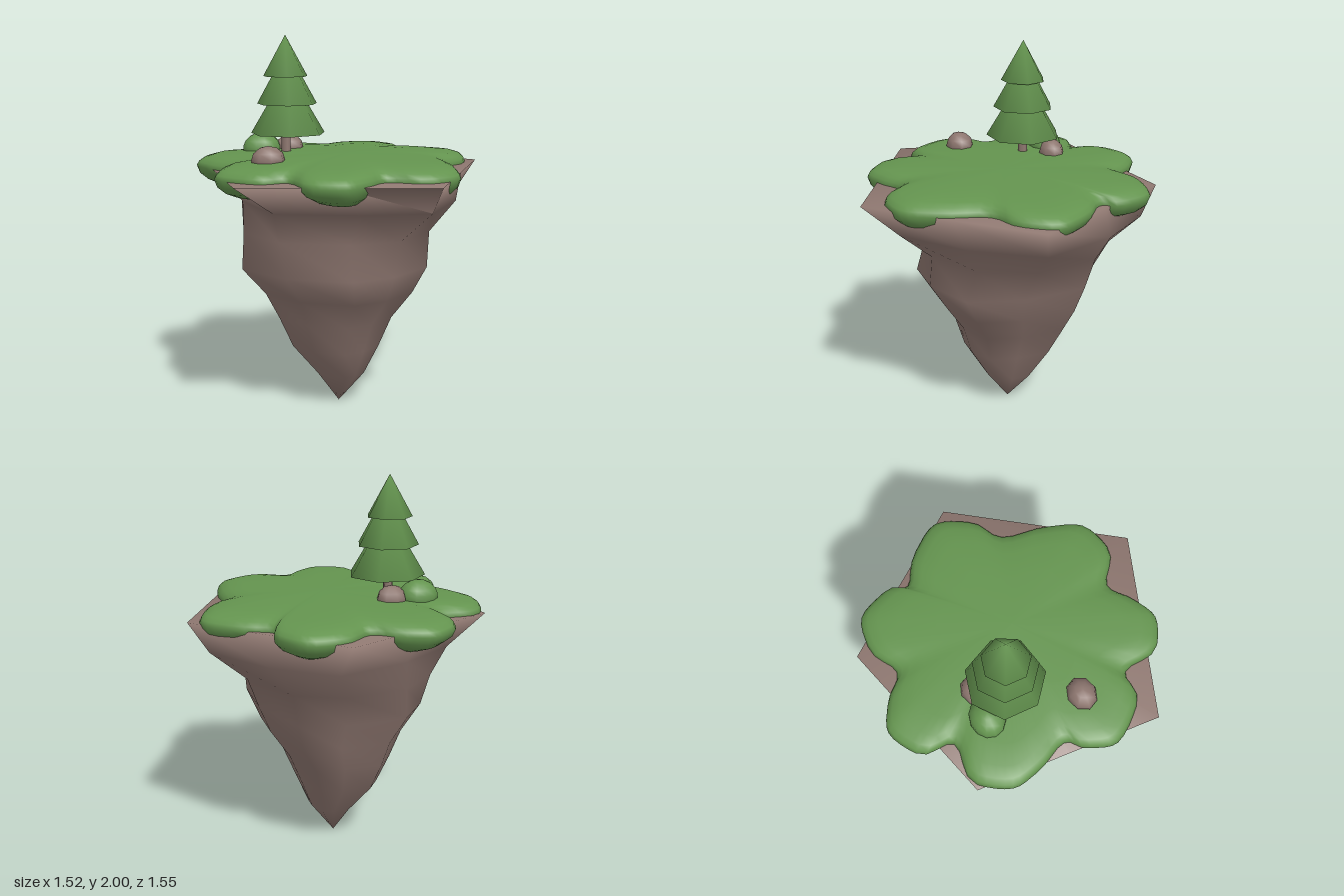
import * as THREE from 'three';
import { mergeVertices } from 'three/addons/utils/BufferGeometryUtils.js';

// Weld all corners so shading rolls smoothly over every edge
function weld(geometry) {
  geometry.deleteAttribute('normal');
  geometry.deleteAttribute('uv');
  const welded = mergeVertices(geometry, 1e-4);
  welded.computeVertexNormals();
  return welded;
}

// Skin closed rings of [x, y, z] points, listed from top to bottom
function loft(rings) {
  const n = rings[0].length;
  const index = [];
  for (let i = 0; i < rings.length - 1; i++) {
    for (let j = 0; j < n; j++) {
      const a = i * n + j, b = i * n + (j + 1) % n;
      index.push(a, b, a + n, b, b + n, a + n);
    }
  }
  const geometry = new THREE.BufferGeometry();
  geometry.setAttribute('position', new THREE.Float32BufferAttribute(rings.flat(2), 3));
  geometry.setIndex(index);
  return weld(geometry);
}

export function createModel() {
  const model = new THREE.Group();
  model.name = 'floatingIsland';
  const rock = new THREE.MeshStandardMaterial({ color: 0x8e7770 });
  rock.name = 'rockBrown';
  const green = new THREE.MeshStandardMaterial({ color: 0x64944f });
  green.name = 'leafGreen';

  const add = (name, geometry, material, x = 0, y = 0, z = 0, parent = model) => {
    const mesh = new THREE.Mesh(geometry, material);
    mesh.name = name;
    mesh.position.set(x, y, z);
    parent.add(mesh);
    return mesh;
  };

  // Rock: a pentagonal rim that rounds off into a ten-sided body, fitted to the
  // extents of each level. Corners are fractions of those extents in x and z.
  const { lerp } = THREE.MathUtils;
  const pentagon = [[1, 0.47], [0.63, 1], [0, 0.8], [0.03, 0.175], [0.62, 0]];
  const rimCorners = pentagon.flatMap(([u, v], i) => {
    const [nextU, nextV] = pentagon[(i + 1) % 5];
    return [[u, v], [(u + nextU) / 2, (v + nextV) / 2]];
  });
  const bodyCorners = [
    [1, 0.5], [0.96, 0.8], [0.71, 0.96], [0.47, 1], [0.165, 0.81],
    [0, 0.52], [0.175, 0.17], [0.35, 0], [0.69, 0.03], [0.92, 0.13],
  ];
  const levels = [ // y, roundness, xMin, xMax, zMin, zMax
    [1.31, 0, 0, 0, 0, 0],
    [1.31, 0, -0.73, 0.76, -0.77, 0.77],
    [1.15, 0.35, -0.58, 0.66, -0.70, 0.60],
    [0.98, 0.7, -0.57, 0.46, -0.57, 0.44],
    [0.80, 1, -0.59, 0.38, -0.49, 0.46],
    [0.65, 1, -0.46, 0.32, -0.43, 0.36],
    [0.50, 1, -0.38, 0.22, -0.37, 0.26],
    [0.34, 1, -0.31, 0.15, -0.29, 0.21],
    [0.17, 1, -0.17, 0.08, -0.16, 0.10],
    [0, 1, -0.05, -0.05, -0.03, -0.03],
  ];
  add('rock', loft(levels.map(([y, round, x0, x1, z0, z1]) => rimCorners.map(([u, v], i) => [
    lerp(x0, x1, lerp(u, bodyCorners[i][0], round)), y,
    lerp(z0, z1, lerp(v, bodyCorners[i][1], round)),
  ]))), rock);

  // Grass: seven lobes, each given as notch, flank, tip, flank
  const outline = [
    [0.44, -0.39], [0.61, -0.27], [0.71, -0.12], [0.65, 0.04],
    [0.49, 0.17], [0.44, 0.43], [0.37, 0.59], [0.21, 0.65],
    [0.01, 0.55], [-0.14, 0.65], [-0.25, 0.695], [-0.39, 0.63],
    [-0.45, 0.42], [-0.63, 0.39], [-0.76, 0.22], [-0.73, 0.09],
    [-0.65, -0.02], [-0.73, -0.21], [-0.75, -0.34], [-0.66, -0.49],
    [-0.43, -0.51], [-0.39, -0.70], [-0.24, -0.78], [-0.11, -0.73],
    [0.03, -0.62], [0.22, -0.70], [0.38, -0.67], [0.46, -0.52],
  ];
  const droop = [0, 0.85, 1, 0.85];
  const rim = new THREE.CatmullRomCurve3(
    outline.map(([x, z], i) => new THREE.Vector3(x, droop[i % 4], z)), true,
  ).getPoints(112).slice(0, 112);
  const grassProfile = [ // scale, height, share of the lobe's droop
    [0, 1.392, 0], [0.5, 1.388, 0], [0.75, 1.379, 0], [0.88, 1.368, 0], [0.95, 1.352, 0],
    [0.985, 1.332, 0], [1, 1.31, 0], [0.98, 1.3, 0.03], [0.93, 1.3, 0.062],
    [0.84, 1.3, 0.09], [0.74, 1.3, 0.08], [0.6, 1.3, 0.01], [0, 1.3, 0],
  ];
  add('grass', loft(grassProfile.map(([s, y, d]) =>
    rim.map((p) => [p.x * s, y - d * p.y, p.z * s]))), green);

  // Tree: trunk and three stacked tiers
  const tree = new THREE.Group();
  tree.name = 'tree';
  tree.position.set(-0.297, 0, -0.167);
  model.add(tree);
  add('trunk', new THREE.CylinderGeometry(0.024, 0.026, 0.2, 7), rock, 0, 1.45, 0, tree);
  const tiers = [ // radius, base, top, lean
    [0.202, 1.483, 1.82, 0.012], [0.163, 1.64, 1.93, 0.008], [0.12, 1.785, 2, 0],
  ];
  for (const [radius, base, top, lean] of tiers) {
    const cone = new THREE.ConeGeometry(radius, top - base, 7, 1, false, Math.PI / 2);
    add('foliageTier', weld(cone), green, lean, (base + top) / 2, 0, tree);
  }

  // Stones and bush
  const ball = (name, material, radius, sides, x, y, z, height) => {
    const geometry = weld(new THREE.SphereGeometry(radius, sides, Math.ceil(sides * 0.7)));
    add(name, geometry, material, x, y, z).scale.set(1, height, 0.85);
  };
  ball('stoneFront', rock, 0.088, 8, -0.48, 1.39, 0.155, 0.8);
  ball('stoneBack', rock, 0.08, 8, -0.24, 1.39, -0.315, 0.88);
  ball('bush', green, 0.105, 12, -0.395, 1.39, -0.315, 0.8);

  return model;
}
